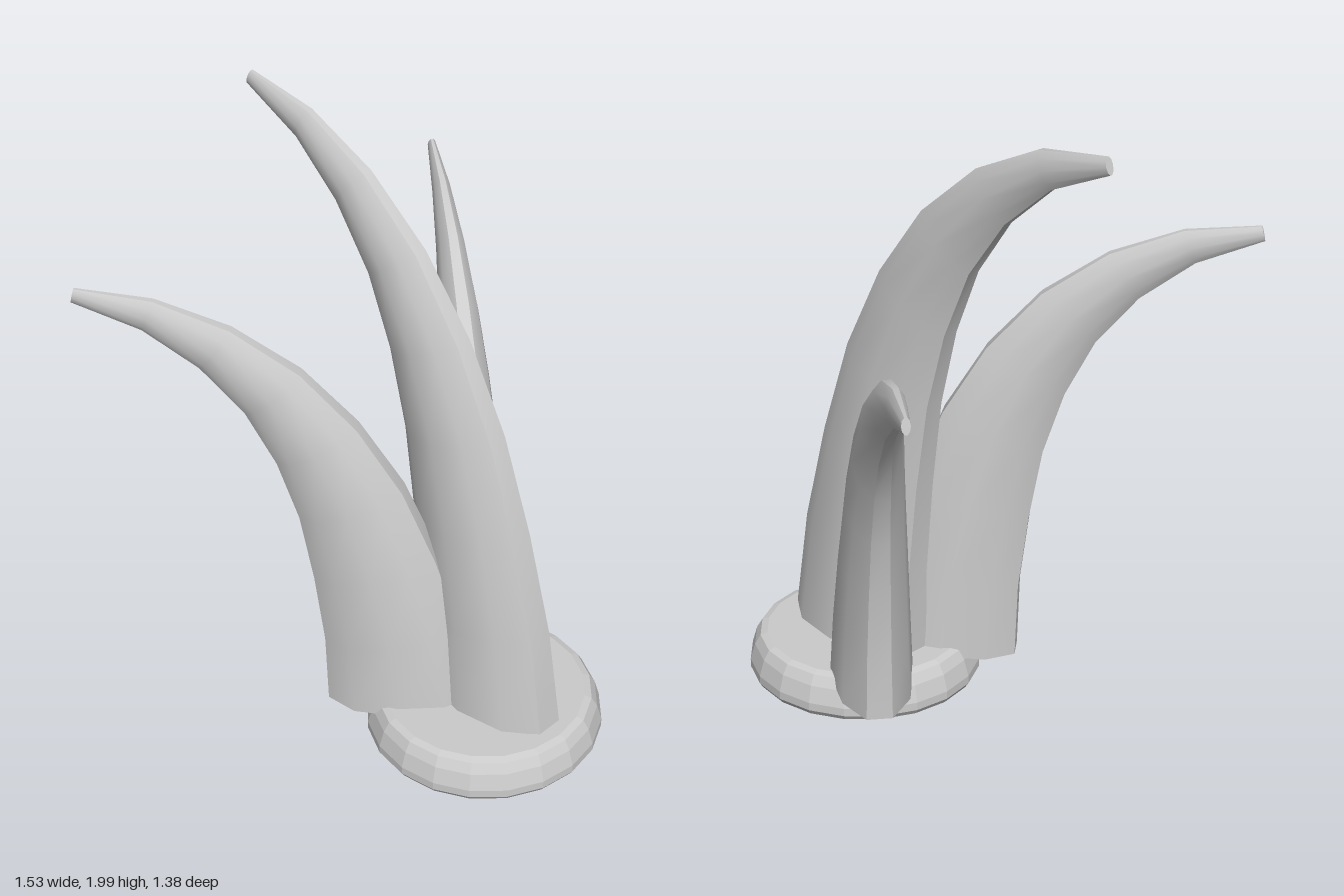
import * as THREE from 'three';
import { toCreasedNormals } from 'three/addons/utils/BufferGeometryUtils.js';

const SIDES = 10;
const material = () => new THREE.MeshStandardMaterial({ color: 0xcccccc });

// Spine of a horn in its own plane as [z, y], starting at the origin
const SPINE = [
  [0, 0], [-0.03, 0.33], [-0.09, 0.66], [-0.165, 0.97], [-0.27, 1.24],
  [-0.405, 1.47], [-0.58, 1.655], [-0.785, 1.785], [-1.015, 1.85],
];

// Tapered ten-sided elliptical horn swept along the scaled spine
function hornGeometry(size, reach, height) {
  const curve = new THREE.CatmullRomCurve3(
    SPINE.map(([z, y]) => new THREE.Vector3(0, y * height, z * reach)));
  const rings = SPINE.length;
  const pos = [], index = [];
  for (let i = 0; i < rings; i++) {
    const t = i / (rings - 1);
    const c = curve.getPoint(t), tan = curve.getTangent(t);
    const s = size * (1 - 0.9 * Math.pow(t, 1.15));
    for (let j = 0; j < SIDES; j++) {
      const a = (j + 0.5) / SIDES * Math.PI * 2;
      const w = Math.sin(a) * 0.145 * s, d = Math.cos(a) * 0.273 * s;
      pos.push(w, c.y - tan.z * d, c.z + tan.y * d);
    }
  }
  for (let i = 0; i < rings - 1; i++) {
    for (let j = 0; j < SIDES; j++) {
      const a = i * SIDES + j, b = i * SIDES + (j + 1) % SIDES;
      index.push(a, b, b + SIDES, a, b + SIDES, a + SIDES);
    }
  }
  // end caps
  const top = (rings - 1) * SIDES;
  for (let j = 1; j < SIDES - 1; j++) {
    index.push(0, j + 1, j, top, top + j, top + j + 1);
  }
  const g = new THREE.BufferGeometry();
  g.setAttribute('position', new THREE.Float32BufferAttribute(pos, 3));
  g.setIndex(index);
  return toCreasedNormals(g, Math.PI / 6);
}

export function createModel() {
  const model = new THREE.Group();
  model.name = 'hornOrnament';

  // Rounded disc base
  const profile = [
    [0, 0], [0.368, 0], [0.38, 0.018], [0.38, 0.045],
    [0.364, 0.1], [0.345, 0.132], [0.322, 0.14], [0, 0.14],
  ].map(([r, y]) => new THREE.Vector2(r, y));
  const baseMaterial = material();
  baseMaterial.flatShading = true;
  const base = new THREE.Mesh(new THREE.LatheGeometry(profile, 20), baseMaterial);
  base.name = 'base';
  base.position.z = 0.31;
  model.add(base);

  // Tall middle horn and two splayed side horns of unequal height
  const horns = [
    { name: 'middleHorn', at: [0, 0.12, 0.33], turn: 0, size: 1, reach: 1, height: 1 },
    { name: 'leftHorn', at: [0.165, 0.11, 0.108], turn: -0.658, size: 0.92, reach: 0.95, height: 0.711 },
    { name: 'rightHorn', at: [-0.165, 0.11, 0.108], turn: 0.658, size: 0.92, reach: 0.95, height: 0.787 },
  ];
  for (const h of horns) {
    const horn = new THREE.Mesh(hornGeometry(h.size, h.reach, h.height), material());
    horn.name = h.name;
    horn.position.set(...h.at);
    horn.rotation.y = h.turn;
    model.add(horn);
  }
  return model;
}
